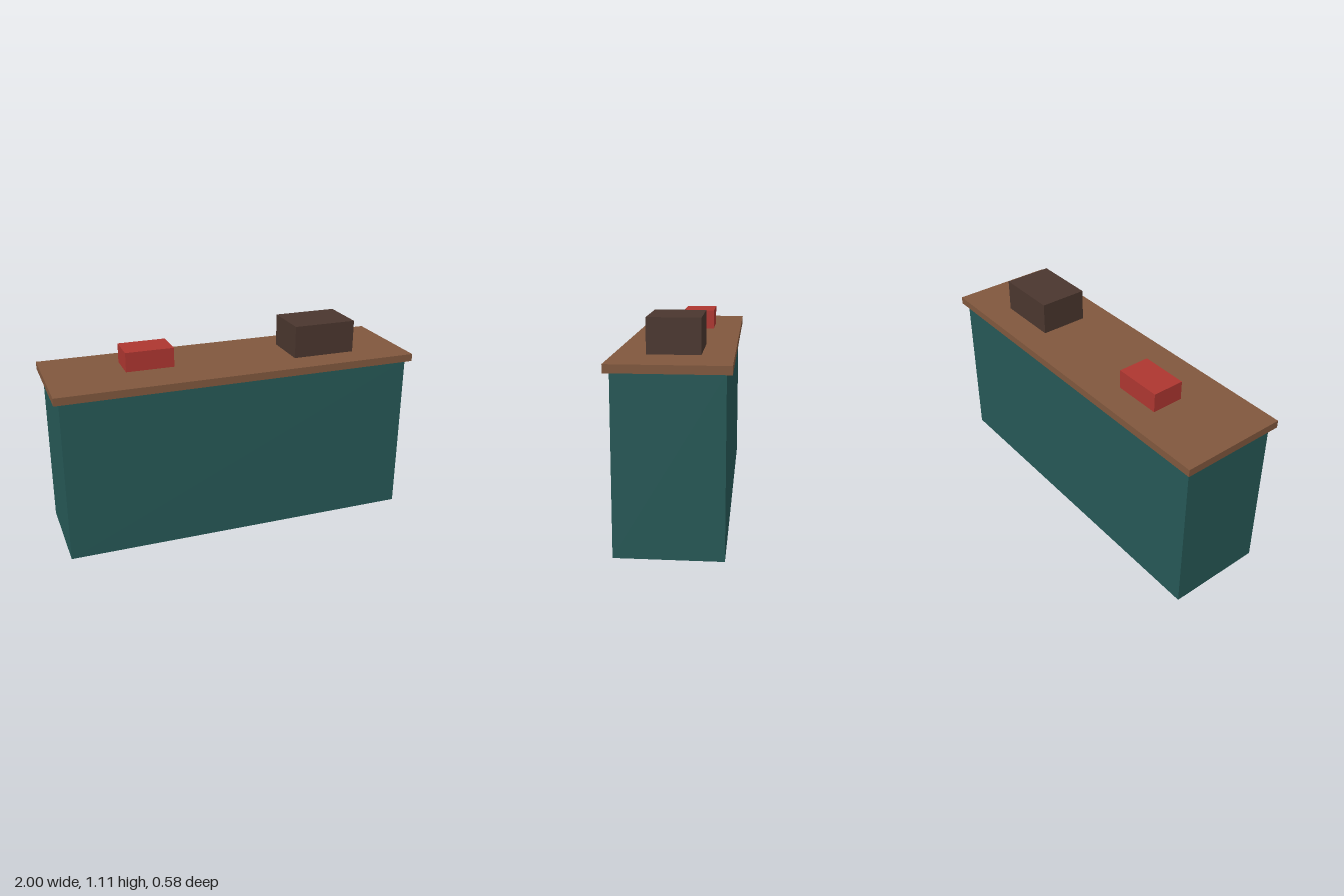
import * as THREE from 'three';

// Box given by its extents on each axis
function block(name, color, [x0, x1], [y0, y1], [z0, z1]) {
  const mesh = new THREE.Mesh(
    new THREE.BoxGeometry(x1 - x0, y1 - y0, z1 - z0),
    new THREE.MeshStandardMaterial({ color })
  );
  mesh.name = name;
  mesh.position.set((x0 + x1) / 2, (y0 + y1) / 2, (z0 + z1) / 2);
  return mesh;
}

export function createModel() {
  const group = new THREE.Group();
  group.name = 'counter';
  const bodyTop = 0.889, slabTop = 0.93;

  group.add(
    // Solid base and overhanging worktop
    block('counterBody', 0x265856, [-0.972, 0.972], [0, bodyTop], [-0.265, 0.265]),
    block('counterTop', 0x80573d, [-1, 1], [bodyTop, slabTop], [-0.292, 0.292]),
    // Items standing on the worktop
    block('redBox', 0xad3630, [-0.578, -0.313], [slabTop, 1.036], [-0.134, 0.043]),
    block('darkBox', 0x4a362e, [0.353, 0.707], [slabTop, 1.108], [-0.133, 0.133])
  );
  return group;
}
